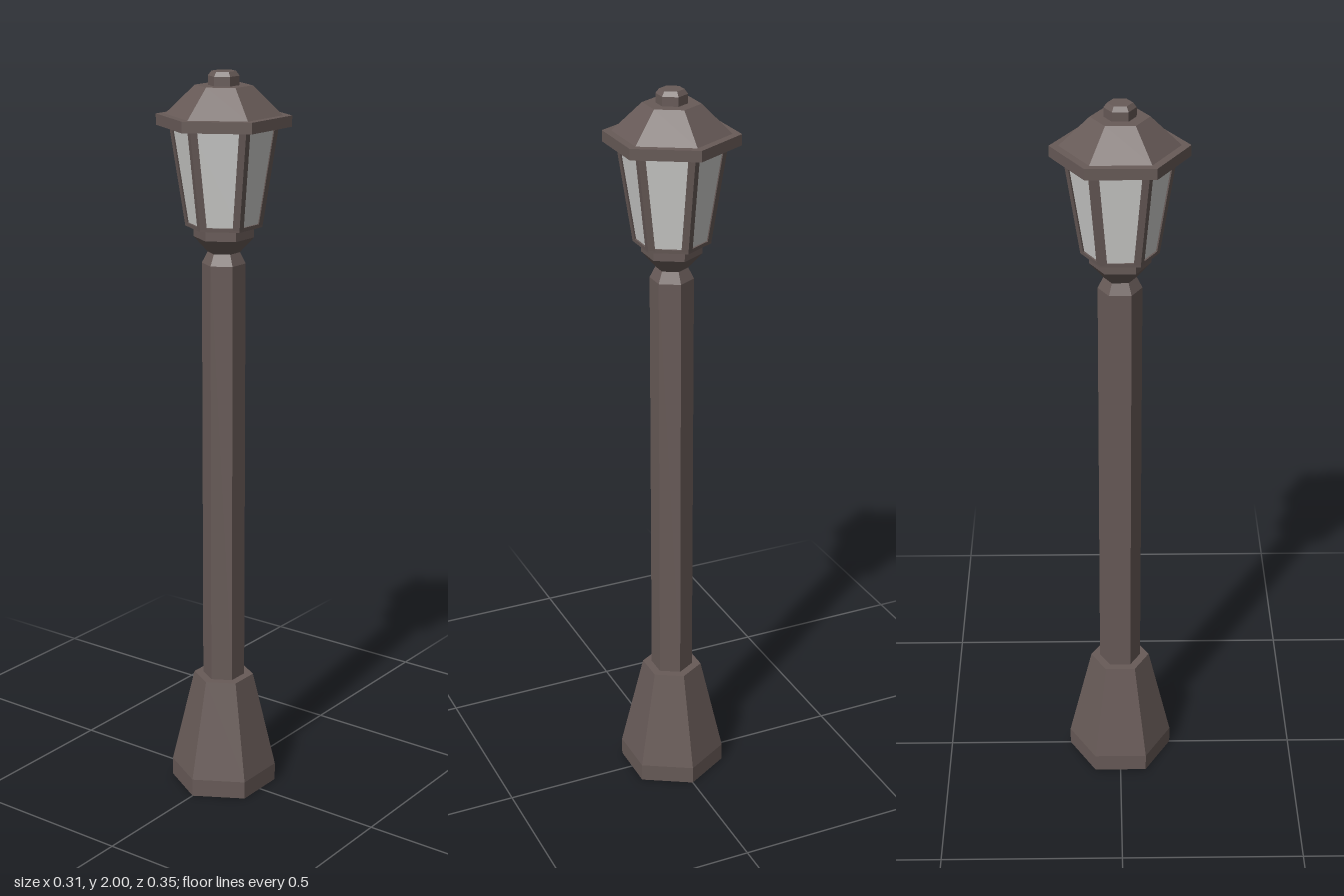
import * as THREE from 'three';

const metal = new THREE.MeshStandardMaterial({ color: 0x685b58 });
metal.name = 'brownMetal';
const glass = new THREE.MeshStandardMaterial({ color: 0xcfcfcd });
glass.name = 'paleGlass';

// Gives every face its own normal for the low-poly look
function faceted(geometry) {
  const flat = geometry.toNonIndexed();
  flat.computeVertexNormals();
  return flat;
}

// Six-sided turned part from [corner radius, height] pairs, bottom to top
function hexPart(name, material, profile) {
  const points = profile.map(([r, y]) => new THREE.Vector2(r, y));
  const mesh = new THREE.Mesh(faceted(new THREE.LatheGeometry(points, 6)), material);
  mesh.name = name;
  return mesh;
}

// Leaning rhombic bar that follows one corner of the lantern
function cornerBar(bottomRadius, topRadius, bottomY, topY, width) {
  const geometry = new THREE.CylinderGeometry(1, 1, 1, 4);
  const p = geometry.attributes.position;
  for (let i = 0; i < p.count; i++) {
    const t = p.getY(i) + 0.5;
    const r = THREE.MathUtils.lerp(bottomRadius, topRadius, t);
    p.setXYZ(
      i,
      p.getX(i) * width * Math.sin(Math.PI / 3),
      THREE.MathUtils.lerp(bottomY, topY, t),
      r - width / 2 + (p.getZ(i) * width) / 2
    );
  }
  return faceted(geometry);
}

export function createModel() {
  const model = new THREE.Group();
  model.name = 'streetLamp';

  // Flared foot and tall post
  model.add(hexPart('base', metal, [[0, 0], [0.147, 0], [0.147, 0.05], [0.083, 0.325], [0, 0.325]]));
  model.add(hexPart('post', metal, [[0, 0.32], [0.058, 0.32], [0.058, 1.5], [0.043, 1.53], [0, 1.53]]));

  // Cup and floor that carry the lantern
  model.add(hexPart('lanternCup', metal, [[0, 1.53], [0.043, 1.53], [0.08, 1.57], [0.08, 1.6], [0, 1.6]]));
  model.add(hexPart('lanternFloor', metal, [[0, 1.598], [0.102, 1.598], [0.103, 1.608], [0, 1.608]]));

  // Glass set slightly behind the corner bars
  model.add(hexPart('lanternGlass', glass, [[0.097, 1.606], [0.137, 1.862]]));

  const frame = new THREE.Group();
  frame.name = 'lanternFrame';
  const bar = cornerBar(0.102, 0.143, 1.6, 1.862, 0.018);
  for (let i = 0; i < 6; i++) {
    const mesh = new THREE.Mesh(bar, metal);
    mesh.name = 'cornerBar';
    mesh.rotation.y = (i * Math.PI) / 3;
    frame.add(mesh);
  }
  model.add(frame);

  // Brim, sloping roof and finial
  model.add(hexPart('brim', metal, [[0, 1.86], [0.177, 1.86], [0.177, 1.889], [0, 1.889]]));
  model.add(hexPart('roof', metal, [[0.153, 1.889], [0.075, 1.964], [0, 1.964]]));
  model.add(hexPart('finial', metal, [[0.041, 1.963], [0.041, 1.988], [0.032, 2], [0, 2]]));

  return model;
}
